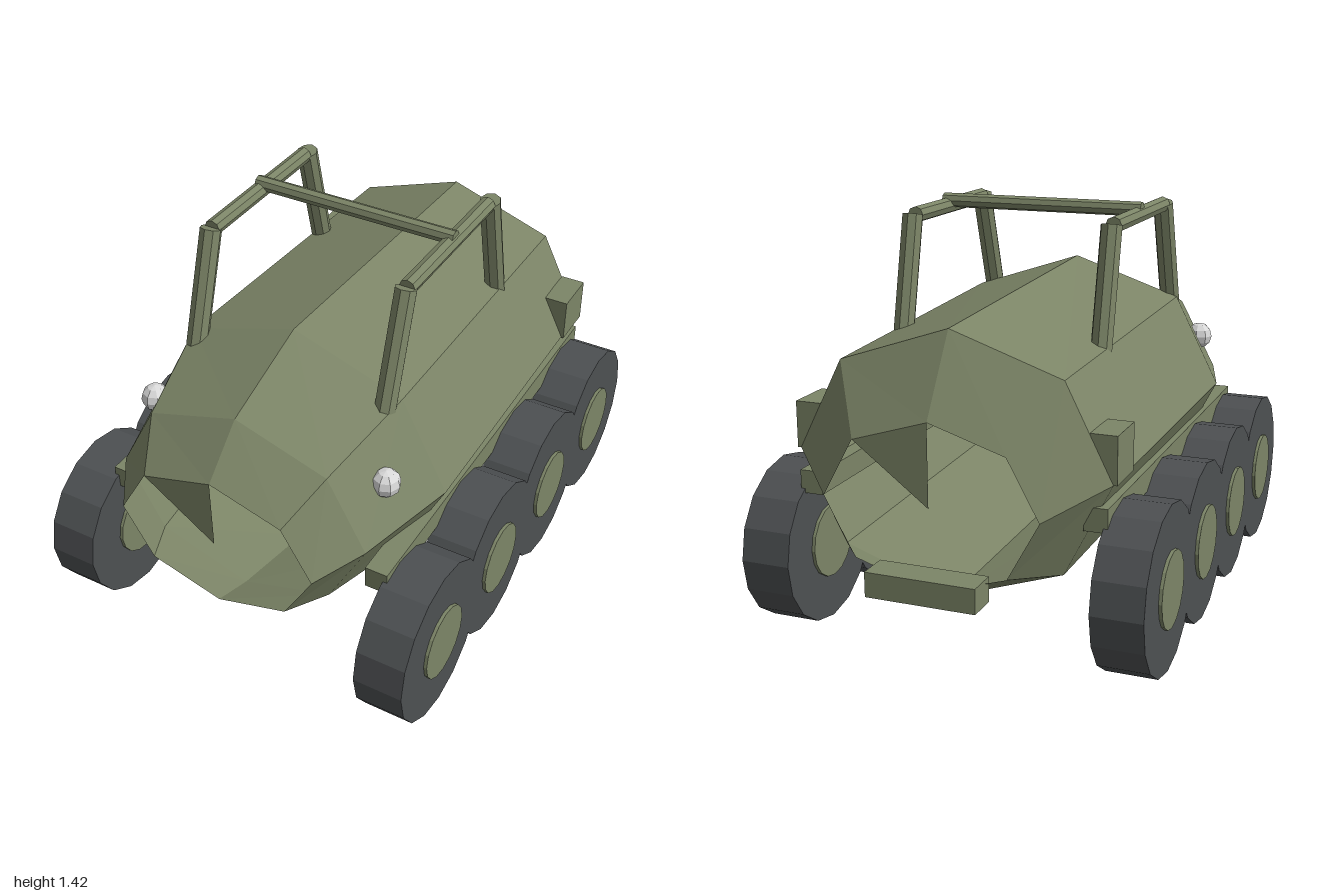
import * as THREE from 'three';

const mat = (name, color, extra = {}) => {
  const m = new THREE.MeshStandardMaterial({ color, flatShading: true, ...extra });
  m.name = name;
  return m;
};

export function createModel() {
  const olive = mat('olive paint', 0x7c8567);
  const hullOlive = mat('olive paint', 0x7c8567, { side: THREE.DoubleSide });
  const rubber = mat('dark rubber', 0x4d5052);
  const glass = mat('dark glass', 0x2c3739);
  const lamp = mat('lamp white', 0xdadada);

  const model = new THREE.Group();
  model.name = 'armouredCar';
  const add = (name, geo, material, x = 0, y = 0, z = 0) => {
    const m = new THREE.Mesh(geo, material);
    m.name = name;
    m.position.set(x, y, z);
    model.add(m);
    return m;
  };
  const box = (name, w, h, d, x, y, z, material = olive) =>
    add(name, new THREE.BoxGeometry(w, h, d), material, x, y, z);
  // eight-sided bar between two points
  const bar = (name, a, b, r) => {
    const p = new THREE.Vector3(...a), q = new THREE.Vector3(...b);
    const dir = q.clone().sub(p);
    const m = add(name, new THREE.CylinderGeometry(r, r, dir.length(), 8), olive);
    m.position.copy(p).add(q).multiplyScalar(0.5);
    m.quaternion.setFromUnitVectors(new THREE.Vector3(0, 1, 0), dir.normalize());
  };

  // hull: octagonal sections [z, centre y, half width, half height]
  const sections = [
    [0.98, 0.625, 0.365, 0.255],
    [0.82, 0.67, 0.47, 0.36],
    [0.46, 0.69, 0.572, 0.463],
    [-0.75, 0.66, 0.548, 0.45],
    [-0.92, 0.57, 0.37, 0.28],
  ];
  const point = ([z, cy, rx, ry], i) => {
    const a = (i * Math.PI) / 4;
    return [Math.sin(a) * rx, cy + Math.cos(a) * ry, z];
  };
  const tris = [];
  for (let s = 0; s < sections.length - 1; s++) {
    for (let i = 0; i < 8; i++) {
      const a = point(sections[s], i), b = point(sections[s], i + 1);
      const c = point(sections[s + 1], i), d = point(sections[s + 1], i + 1);
      tris.push(...a, ...b, ...c, ...b, ...d, ...c);
    }
  }
  // open ends, each with a single wedge of its end plate
  const nose = sections[0], tail = sections[4];
  tris.push(0, nose[1], nose[0], ...point(nose, 0), ...point(nose, 7));
  tris.push(0, tail[1], tail[0], ...point(tail, 0), ...point(tail, 1));
  const hull = new THREE.BufferGeometry();
  hull.setAttribute('position', new THREE.Float32BufferAttribute(tris, 3));
  hull.computeVertexNormals();
  add('hull', hull, hullOlive);

  // inner window panel and rear bumper
  box('windowPanel', 0.7, 0.115, 0.04, 0, 0.7525, 0.5, glass);
  box('rearBumper', 0.38, 0.085, 0.11, 0, 0.32, -0.945);

  const tyreGeo = new THREE.CylinderGeometry(0.287, 0.287, 0.175, 16).rotateZ(Math.PI / 2);
  const hubGeo = new THREE.CylinderGeometry(0.131, 0.131, 0.198, 16).rotateZ(Math.PI / 2);
  const lampGeo = new THREE.SphereGeometry(0.05, 8, 6);

  for (const s of [1, -1]) {
    const side = s > 0 ? 'left' : 'right';
    // wheels
    for (let i = 0; i < 4; i++) {
      const z = 0.715 - i * 0.445;
      add(side + 'Tyre', tyreGeo, rubber, s * 0.6125, 0.29, z);
      add(side + 'Hub', hubGeo, olive, s * 0.6125, 0.29, z);
    }
    // side fittings
    box(side + 'Rail', 0.08, 0.08, 1.58, s * 0.5, 0.55, 0.015);
    box(side + 'StowageBox', 0.09, 0.16, 0.17, s * 0.515, 0.74, -0.665);
    add(side + 'Headlight', lampGeo, lamp, s * 0.45, 0.83, 0.65);
    // roll frame
    const x = s * 0.365;
    bar(side + 'FrontRollPost', [x, 0.99, 0.505], [x, 1.385, 0.375], 0.038);
    bar(side + 'RearRollPost', [x, 0.97, -0.335], [x, 1.385, -0.24], 0.038);
    bar(side + 'RollTopBar', [x, 1.38, 0.37], [x, 1.38, -0.22], 0.029);
  }
  bar('rollCrossbar', [-0.38, 1.4, 0.06], [0.38, 1.4, 0.06], 0.026);

  return model;
}
